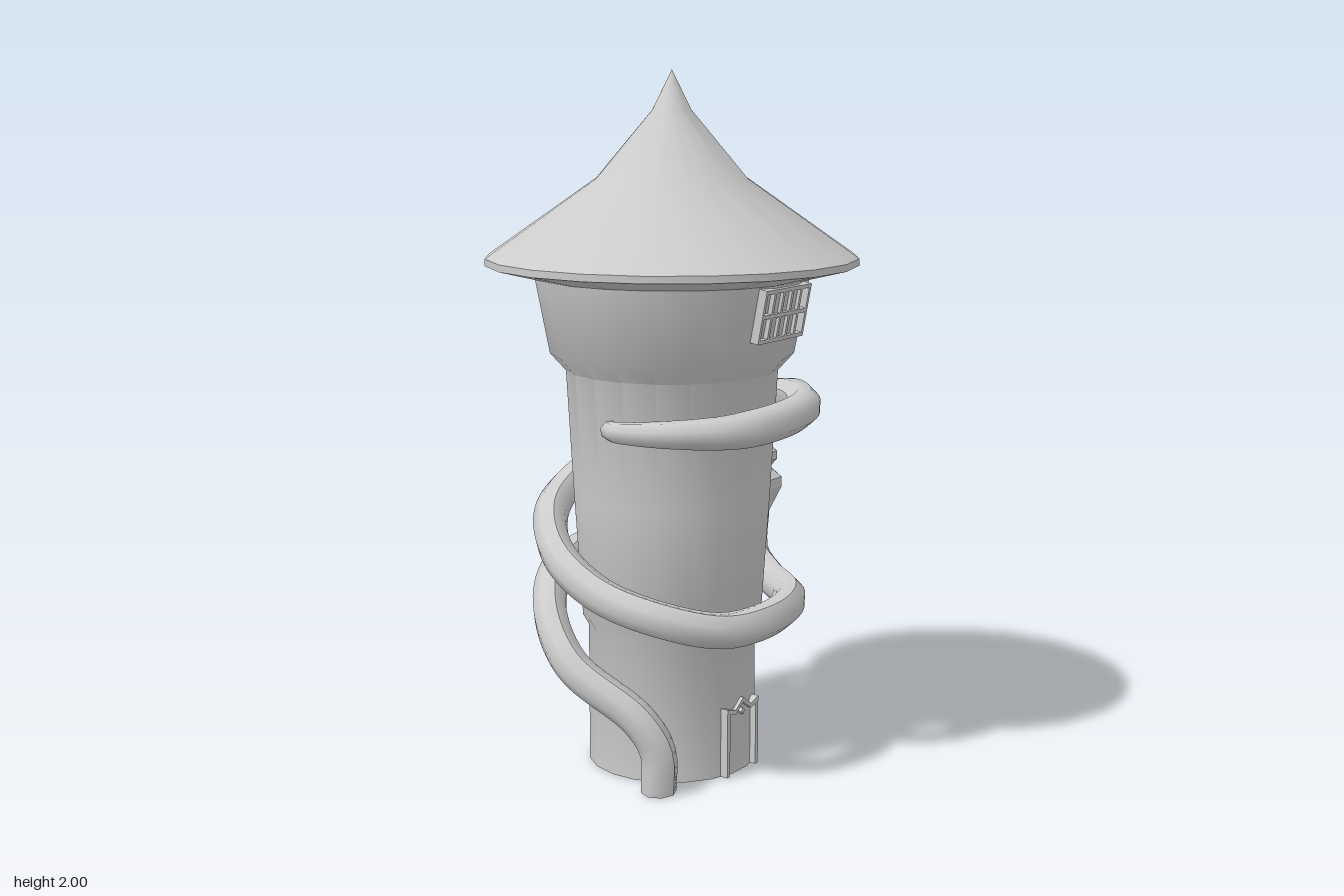
import * as THREE from 'three';
import { toCreasedNormals } from 'three/addons/utils/BufferGeometryUtils.js';

const material = new THREE.MeshStandardMaterial({ color: 0xcccccc, side: THREE.DoubleSide });

function addMesh(parent, name, geometry) {
  const mesh = new THREE.Mesh(geometry, material);
  mesh.name = name;
  parent.add(mesh);
  return mesh;
}

// Turned part from [radius, height] pairs, bottom to top
function turned(profile, sides, crease) {
  const points = profile.map(([r, y]) => new THREE.Vector2(r, y));
  const geometry = new THREE.LatheGeometry(points, sides, Math.PI / sides);
  return toCreasedNormals(geometry, crease);
}

// Tube along a curve whose radius follows radiusAt(t)
function pipe(points, segments, radiusAt, sides = 8) {
  const curve = new THREE.CatmullRomCurve3(points.map((p) => new THREE.Vector3(...p)));
  const geometry = new THREE.TubeGeometry(curve, segments, 1, sides);
  const pos = geometry.attributes.position;
  const v = new THREE.Vector3();
  for (let i = 0; i < pos.count; i++) {
    const t = Math.floor(i / (sides + 1)) / segments;
    const centre = curve.getPointAt(t);
    v.fromBufferAttribute(pos, i).sub(centre).multiplyScalar(radiusAt(t)).add(centre);
    pos.setXYZ(i, v.x, v.y, v.z);
  }
  geometry.computeVertexNormals();
  return geometry;
}

function bar(parent, name, size, position) {
  const mesh = addMesh(parent, name, new THREE.BoxGeometry(...size));
  mesh.position.set(...position);
  return mesh;
}

export function createModel() {
  const model = new THREE.Group();
  model.name = 'pipeTower';

  // Tower body, flaring under the roof
  addMesh(model, 'towerBody', turned([
    [0, 0], [0.245, 0], [0.245, 0.41], [0.262, 0.44], [0.285, 0.8],
    [0.305, 1.16], [0.35, 1.21], [0.392, 1.43],
  ], 20, 0.7));

  // Pointed roof with a thin rim
  addMesh(model, 'roof', turned([
    [0.36, 1.42], [0.39, 1.425], [0.53, 1.46], [0.53, 1.48],
    [0.215, 1.7], [0.055, 1.89], [0, 2],
  ], 20, 0.7));

  // Lower pipe: from the ground across the front and round to the back
  const R = 0.051;
  addMesh(model, 'lowerPipe', pipe([
    [0.15, 0, 0.275], [0.15, 0.12, 0.28], [0.1, 0.21, 0.305], [-0.1, 0.34, 0.345],
    [-0.24, 0.46, 0.27], [-0.335, 0.55, 0.1], [-0.33, 0.58, -0.1],
    [-0.2, 0.57, -0.27], [-0.09, 0.56, -0.32],
  ], 48, (t) => R - 0.02 * Math.max(0, (t - 0.9) / 0.1)));
  const foot = addMesh(model, 'pipeFoot', new THREE.CircleGeometry(R, 8).rotateX(Math.PI / 2));
  foot.position.set(0.15, 0.001, 0.275);

  // Thin hooked pipe up and over into the valve
  addMesh(model, 'hookPipe', pipe([
    [-0.12, 0.56, -0.31], [-0.09, 0.59, -0.32], [-0.09, 0.75, -0.32], [-0.09, 0.91, -0.32],
    [-0.07, 0.945, -0.335], [0, 0.945, -0.39], [0.02, 0.92, -0.405], [0.02, 0.85, -0.405],
  ], 40, () => 0.03));

  // Faceted valve
  const valve = addMesh(model, 'valve', turned([
    [0.045, 0.64], [0.05, 0.67], [0.087, 0.745], [0.087, 0.775], [0.05, 0.805],
    [0.072, 0.83], [0.072, 0.855], [0.03, 0.88], [0, 0.88],
  ], 8, 0.2));
  valve.position.set(0.02, 0, -0.405);

  // Upper pipe: from the valve once and a half round the tower, tapering at the end
  addMesh(model, 'upperPipe', pipe([
    [0.02, 0.68, -0.405], [0.02, 0.54, -0.4], [0.1, 0.48, -0.37], [0.26, 0.47, -0.23],
    [0.335, 0.47, 0], [0.3, 0.475, 0.19], [0.19, 0.51, 0.3], [0, 0.56, 0.34],
    [-0.18, 0.64, 0.3], [-0.31, 0.73, 0.17], [-0.345, 0.8, 0], [-0.31, 0.86, -0.18],
    [-0.21, 0.92, -0.29], [-0.02, 1.01, -0.335], [0.2, 1.06, -0.3], [0.345, 1.06, -0.16],
    [0.38, 1.05, 0], [0.34, 1.04, 0.2], [0.2, 1.035, 0.315], [0.02, 1.025, 0.32],
    [0.0, 1.025, 0.28],
  ], 110, (t) => R - 0.026 * Math.max(0, (t - 0.87) / 0.13)));

  // Barred window, leaning with the flared wall
  const barredWindow = new THREE.Group();
  barredWindow.name = 'window';
  barredWindow.position.set(0.368, 1.345, 0);
  barredWindow.rotation.z = -0.19;
  for (const y of [-0.07, 0, 0.07])
    bar(barredWindow, 'windowRail', [0.025, 0.011, 0.23], [0, y, 0]);
  for (let i = 0; i <= 5; i++)
    bar(barredWindow, 'windowBar', [0.025, 0.15, 0.01], [0, 0, -0.11 + i * 0.044]);
  model.add(barredWindow);

  // Door frame with a peaked lintel
  const door = new THREE.Group();
  door.name = 'door';
  for (const side of [-1, 1])
    bar(door, 'doorPost', [0.03, 0.2, 0.014], [0.237, 0.1, side * 0.073]);
  const top = [[-0.08, 0.205], [-0.04, 0.193], [-0.02, 0.207], [0, 0.222],
    [0.02, 0.207], [0.04, 0.193], [0.08, 0.205]];
  const outline = [...top, ...top.map(([z, y]) => [z, y - 0.014]).reverse()];
  const lintelShape = new THREE.Shape(outline.map(([z, y]) => new THREE.Vector2(z, y)));
  const lintel = addMesh(door, 'doorLintel',
    new THREE.ExtrudeGeometry(lintelShape, { depth: 0.03, bevelEnabled: false }));
  lintel.rotation.y = Math.PI / 2;
  lintel.position.x = 0.223;
  bar(door, 'doorOrnament', [0.02, 0.014, 0.014], [0.242, 0.18, 0]).rotation.x = Math.PI / 4;
  model.add(door);

  return model;
}
